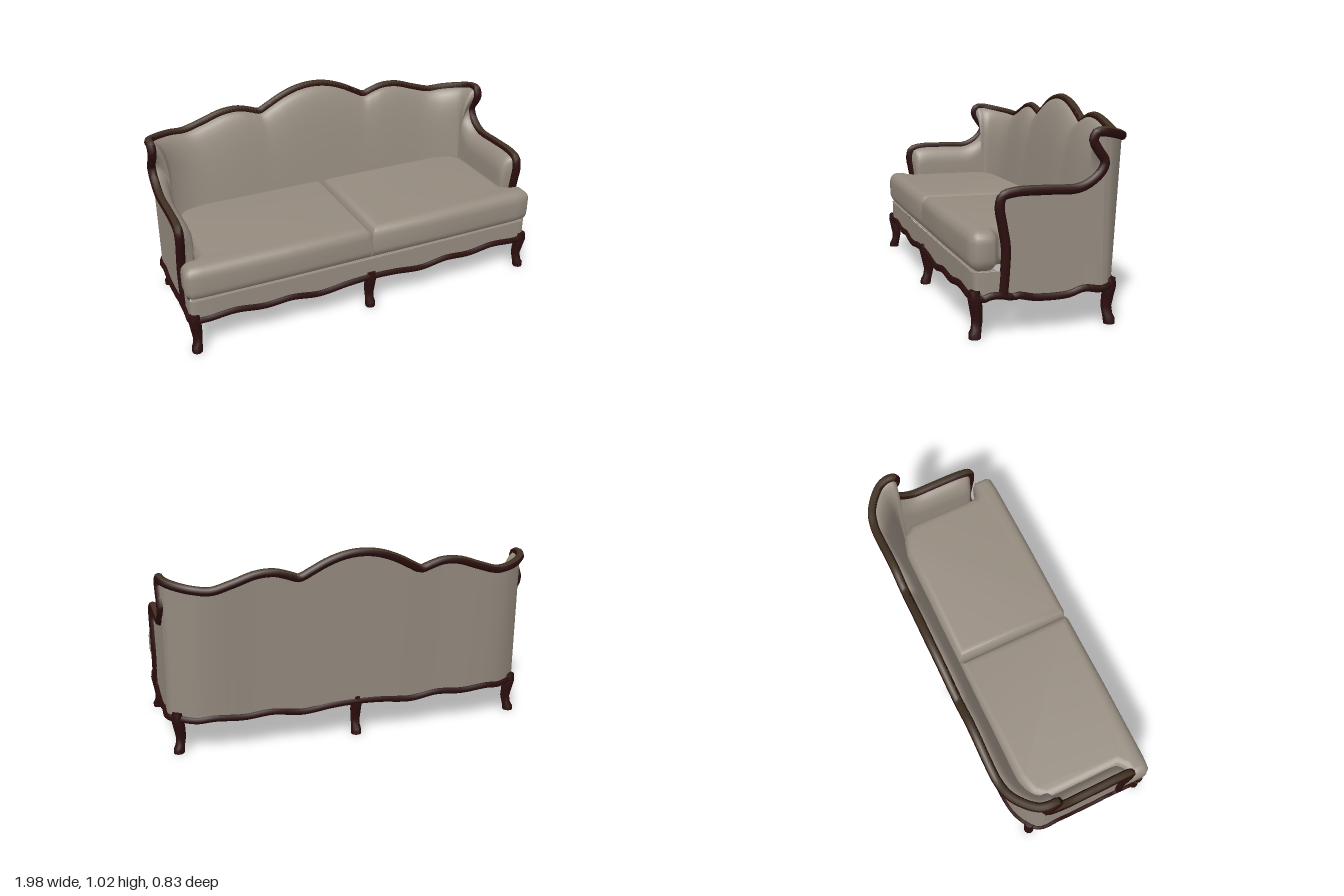
import * as THREE from 'three';
import { toCreasedNormals } from 'three/addons/utils/BufferGeometryUtils.js';

const fabric = new THREE.MeshStandardMaterial({ color: 0x968c80, side: THREE.DoubleSide });
fabric.name = 'taupe fabric';
const wood = new THREE.MeshStandardMaterial({ color: 0x2b0e0d });
wood.name = 'dark wood';
const wornWood = new THREE.MeshStandardMaterial({ color: 0x403223 });
wornWood.name = 'worn brown wood';

const V = (p) => new THREE.Vector3(...p);
const spline = (pts, closed = false) => new THREE.CatmullRomCurve3(pts.map(V), closed, 'centripetal');
const flip = ([x, y, z]) => [-x, y, z];
// full path from the half path on +x that ends on the centre line
const mirrored = (half) => [...half, ...half.slice(0, -1).reverse().map(flip)];

function part(parent, name, geometry, material) {
  const mesh = new THREE.Mesh(geometry, material);
  mesh.name = name;
  parent.add(mesh);
}

// skin over rows of points, all rows the same length
function loft(rows, wrap = false) {
  const n = rows[0].length, index = [];
  for (let i = 0; i < rows.length - 1; i++) {
    for (let j = 0; j < (wrap ? n : n - 1); j++) {
      const k = (j + 1) % n, a = i * n + j, b = i * n + k, c = a + n, d = b + n;
      index.push(a, b, c, b, d, c);
    }
  }
  const geo = new THREE.BufferGeometry();
  geo.setAttribute('position', new THREE.Float32BufferAttribute(rows.flat().flatMap((p) => [p.x, p.y, p.z]), 3));
  geo.setIndex(index);
  geo.computeVertexNormals();
  return geo;
}

// sort faces into two material groups: the rest, then those facing up
function groupUpward(geo) {
  const idx = geo.index.array, nr = geo.attributes.normal, rest = [], up = [];
  for (let i = 0; i < idx.length; i += 3) {
    const face = [idx[i], idx[i + 1], idx[i + 2]];
    const ny = face.reduce((sum, v) => sum + nr.getY(v), 0) / 3;
    (ny > 0.55 ? up : rest).push(...face);
  }
  geo.setIndex([...rest, ...up]);
  geo.addGroup(0, rest.length, 0);
  geo.addGroup(rest.length, up.length, 1);
  return geo;
}

// carved top rail: arm and wing, then corner and back up to the centre
const arm = [
  [0.965, 0.19, 0.252], [0.965, 0.3, 0.243], [0.965, 0.4, 0.24], [0.965, 0.5, 0.256], [0.965, 0.58, 0.268],
  [0.965, 0.625, 0.255], [0.965, 0.642, 0.2], [0.965, 0.645, 0.05], [0.965, 0.645, -0.09],
  [0.965, 0.668, -0.15], [0.965, 0.715, -0.205], [0.965, 0.76, -0.222], [0.965, 0.81, -0.19],
  [0.965, 0.855, -0.166], [0.965, 0.888, -0.18], [0.965, 0.893, -0.22],
];
const back = [
  [0.965, 0.893, -0.22], [0.95, 0.885, -0.265], [0.9, 0.872, -0.32], [0.83, 0.86, -0.365], [0.75, 0.853, -0.383],
  [0.65, 0.88, -0.387], [0.53, 0.918, -0.387], [0.44, 0.922, -0.387], [0.37, 0.903, -0.388], [0.32, 0.888, -0.388],
  [0.26, 0.915, -0.39], [0.18, 0.955, -0.392], [0.09, 0.985, -0.394], [0, 0.995, -0.395],
];
// where the padding meets the seat below each rail point, as x, z
const armSeat = [
  [0.95, 0.25], [0.93, 0.24], [0.91, 0.23], [0.9, 0.22], [0.893, 0.205], [0.89, 0.19], [0.888, 0.16], [0.888, 0.05],
  [0.888, -0.08], [0.888, -0.13], [0.888, -0.165], [0.888, -0.185], [0.887, -0.195], [0.886, -0.2], [0.885, -0.205],
];
const backSeat = back.map(([x, , z]) => [x * 0.917, -0.21 + (z + 0.22) * 0.19]);

// wavy apron around the base, front centre to back centre
const apron = [
  [0, 0.19, 0.393], [0.13, 0.185, 0.393], [0.3, 0.168, 0.393], [0.45, 0.188, 0.393], [0.6, 0.18, 0.392],
  [0.75, 0.197, 0.39], [0.9, 0.185, 0.388], [0.965, 0.185, 0.378], [0.97, 0.178, 0.35], [0.97, 0.19, 0.31],
  [0.968, 0.187, 0.25], [0.966, 0.178, 0.21], [0.966, 0.183, 0.18], [0.965, 0.168, 0.11], [0.965, 0.168, -0.05],
  [0.965, 0.19, -0.13], [0.965, 0.18, -0.21], [0.95, 0.185, -0.25], [0.9, 0.185, -0.29], [0.83, 0.18, -0.32],
  [0.75, 0.188, -0.333], [0.6, 0.178, -0.336], [0.45, 0.188, -0.336], [0.3, 0.168, -0.336],
  [0.13, 0.185, -0.336], [0, 0.19, -0.336],
];

// cabriole leg bending along the outward direction
function leg(parent, name, x, z, dx, dz) {
  const profile = [ // height, outward shift, radius
    [0.218, 0.004, 0.001], [0.217, 0.004, 0.026], [0.18, 0.004, 0.031], [0.13, -0.006, 0.029], [0.08, -0.013, 0.025],
    [0.045, -0.006, 0.024], [0.025, 0.003, 0.028], [0, 0.005, 0.027], [0, 0.005, 0.001],
  ];
  const rows = profile.map(([y, o, r]) => Array.from({ length: 10 }, (_, i) => {
    const a = i / 10 * Math.PI * 2;
    return new THREE.Vector3(x + dx * o + Math.cos(a) * r, y, z + dz * o + Math.sin(a) * r);
  }));
  part(parent, name, toCreasedNormals(loft(rows, true), 0.8), wood);
}

export function createModel() {
  const sofa = new THREE.Group();
  sofa.name = 'sofa';

  // wooden rail and apron
  const rail = spline(mirrored([...arm, ...back.slice(1)]));
  part(sofa, 'topRail', groupUpward(new THREE.TubeGeometry(rail, 260, 0.023, 8)), [wood, wornWood]);
  const loop = spline([...apron, ...apron.slice(1, -1).reverse().map(flip)], true);
  part(sofa, 'apron', new THREE.TubeGeometry(loop, 220, 0.018, 6, true), wood);

  // upholstered base band, open below, with a ledge under the cushion fronts
  const low = loop.getPoints(180);
  const high = low.map((p) => new THREE.Vector3(p.x, 0.297, p.z));
  part(sofa, 'baseBand', loft([low, high]), fabric);
  part(sofa, 'frontLedge', new THREE.PlaneGeometry(1.92, 0.11).rotateX(-Math.PI / 2).translate(0, 0.296, 0.335), fabric);

  // back: outer skin leaning backwards
  const top = spline(mirrored(back)).getPoints(140);
  const outerFoot = top.map((p) => new THREE.Vector3(p.x, 0.19, -0.22 + (p.z + 0.22) * 0.7));
  part(sofa, 'backOuter', loft([top, outerFoot]), fabric);

  // padding that runs around arms, wings and back, swelling in from the rail
  const seatLine = spline(mirrored([...armSeat, ...backSeat].map(([x, z]) => [x, 0.3, z])));
  const steps = (rail.points.length - 1) * 5;
  const rim = rail.getPoints(steps), foot = seatLine.getPoints(steps);
  const padRows = [0, 0.01, 0.03, 0.06, 0.1, 0.15, 0.22, 0.3, 0.45, 0.7, 1].map((t) => rim.map((p, i) => {
    const f = foot[i], u = Math.min(1, t / 0.3);
    const sx = Math.sqrt(1 - (1 - u) ** 2), sz = Math.pow(t, 0.36);
    return new THREE.Vector3(p.x + (f.x - p.x) * sx, p.y + (f.y - p.y) * t, p.z + (f.z - p.z) * sz);
  }));
  part(sofa, 'innerPadding', loft(padRows), fabric);

  const side = spline(arm).getPoints(60).map((p) => new THREE.Vector2(p.z, p.y));
  const panel = new THREE.Shape([...side, new THREE.Vector2(-0.22, 0.19)]);

  for (const s of [1, -1]) {
    const half = new THREE.Group();
    half.name = s > 0 ? 'leftSide' : 'rightSide';
    half.scale.x = s;
    sofa.add(half);

    // flat outside of the arm
    part(half, 'armOuter', new THREE.ShapeGeometry(panel).rotateY(-Math.PI / 2).translate(0.965, 0, 0), fabric);

    // seat cushion, widening in front of the arm
    const outline = [
      [0.004, -0.255], [0.72, -0.255], [0.83, -0.225], [0.885, -0.16], [0.888, 0.25], [0.915, 0.272],
      [0.965, 0.28], [0.985, 0.3], [0.985, 0.375], [0.965, 0.398], [0.9, 0.404], [0.45, 0.408], [0.03, 0.406], [0.004, 0.395],
    ];
    const cushion = new THREE.ExtrudeGeometry(new THREE.Shape(outline.map(([x, z]) => new THREE.Vector2(x, -z))), {
      depth: 0.07, bevelThickness: 0.057, bevelSize: 0.048, bevelOffset: -0.048, bevelSegments: 6,
    });
    cushion.rotateX(-Math.PI / 2).translate(0, 0.354, 0);
    // keep the cushions pressed together along the lower seam
    const pos = cushion.attributes.position;
    for (let i = 0; i < pos.count; i++) {
      if (pos.getY(i) < 0.36 && pos.getX(i) < 0.06) pos.setX(i, 0.004);
    }
    part(half, 'seatCushion', toCreasedNormals(cushion, 0.8), fabric);

    leg(half, 'frontLeg', 0.953, 0.376, 0.6, 0.8);
    leg(half, 'backLeg', 0.922, -0.272, 0.8, -0.6);
  }
  leg(sofa, 'frontCentreLeg', 0, 0.38, 0, 1);
  leg(sofa, 'backCentreLeg', 0, -0.318, 0, -1);
  return sofa;
}
